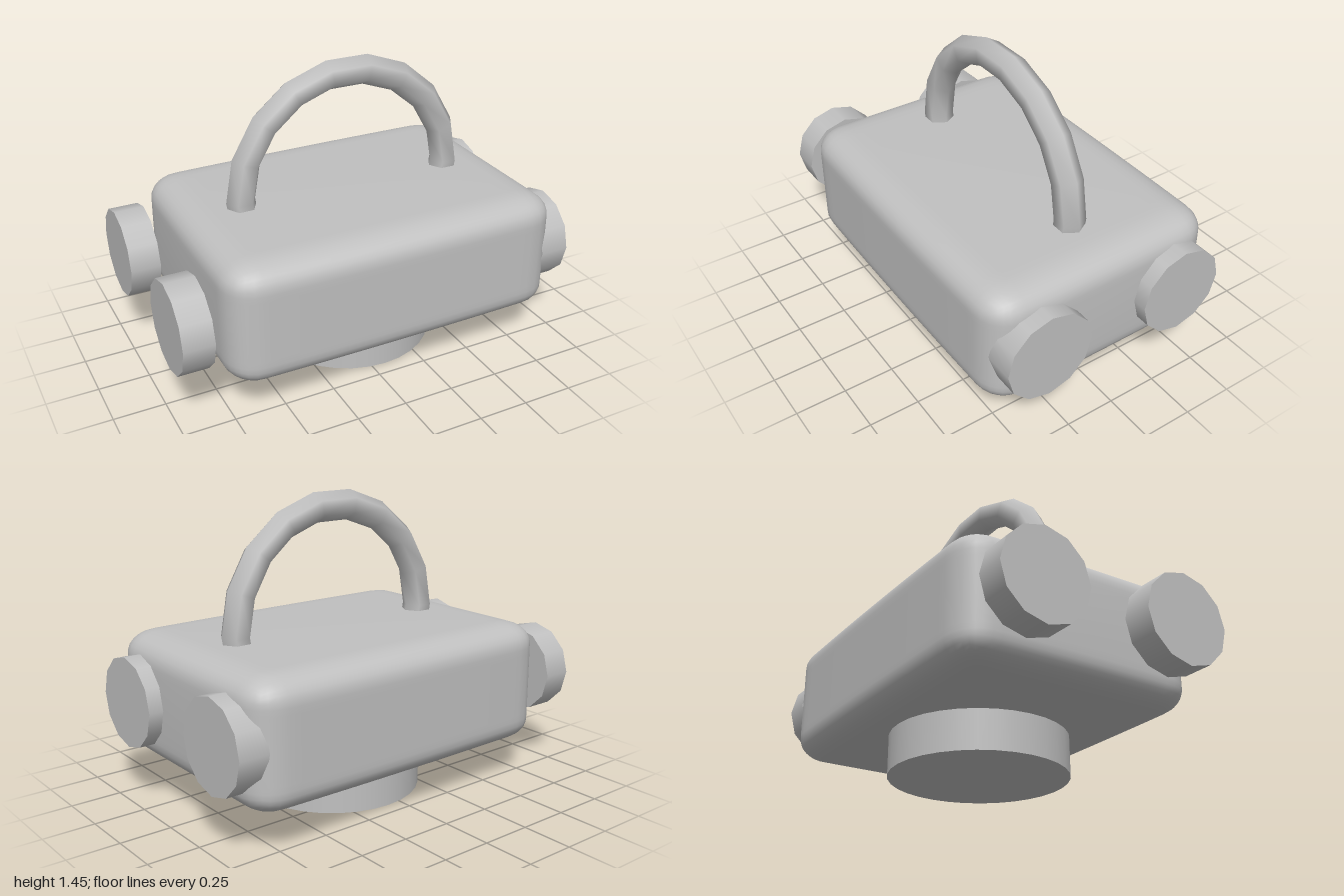
import * as THREE from 'three';
import { mergeVertices } from 'three/addons/utils/BufferGeometryUtils.js';

const CENTRE_X = 0.07;

// Box with elliptical rounded edges and very slightly swollen faces
function softBox(half, radius, bulge) {
  const geo = new THREE.BoxGeometry(2 * half.x, 2 * half.y, 2 * half.z, 32, 20, 28);
  const pos = geo.attributes.position;
  const p = new THREE.Vector3();
  const core = new THREE.Vector3();
  const inner = half.clone().sub(radius);
  for (let i = 0; i < pos.count; i++) {
    p.fromBufferAttribute(pos, i);
    core.copy(p).clamp(inner.clone().negate(), inner);
    p.sub(core).divide(radius).normalize().multiply(radius).add(core);
    const u = p.x / half.x, v = p.y / half.y, w = p.z / half.z;
    p.x += bulge * u * (1 - v * v) * (1 - w * w);
    p.y += 0.5 * bulge * v * (1 - u * u) * (1 - w * w);
    p.z += bulge * w * (1 - u * u);
    pos.setXYZ(i, p.x, p.y, p.z);
  }
  geo.deleteAttribute('uv');
  geo.deleteAttribute('normal');
  const welded = mergeVertices(geo, 1e-5);
  welded.computeVertexNormals();
  return welded;
}

export function createModel() {
  const model = new THREE.Group();
  model.name = 'handledBox';
  const grey = new THREE.MeshStandardMaterial({ color: 0xc0c0c0 });
  grey.name = 'plain grey';

  const add = (name, geometry, x, y, z) => {
    const mesh = new THREE.Mesh(geometry, grey);
    mesh.name = name;
    mesh.position.set(x, y, z);
    model.add(mesh);
    return mesh;
  };

  // Rounded body
  add('body', softBox(new THREE.Vector3(0.85, 0.302, 0.605),
    new THREE.Vector3(0.15, 0.11, 0.15), 0.01), CENTRE_X, 0.497, 0);

  // Round foot below
  add('base', new THREE.CylinderGeometry(0.43, 0.43, 0.24, 32), CENTRE_X, 0.12, 0);

  // Arched carrying handle, its ends sunk into the body
  const step = Math.PI / 9;
  const handle = new THREE.TorusGeometry(0.557, 0.073, 6, 11, 11 * step);
  handle.rotateZ(-step);
  add('handle', handle, CENTRE_X, 0.83, 0);

  // Four side discs
  const disc = new THREE.CylinderGeometry(0.22, 0.22, 0.147, 12);
  disc.rotateZ(Math.PI / 2);
  for (const side of [-1, 1]) {
    for (const end of [-1, 1]) {
      add(`${side > 0 ? 'left' : 'right'}${end > 0 ? 'Front' : 'Back'}Disc`,
        disc, side * 0.9265, 0.497, end * 0.37);
    }
  }
  return model;
}
